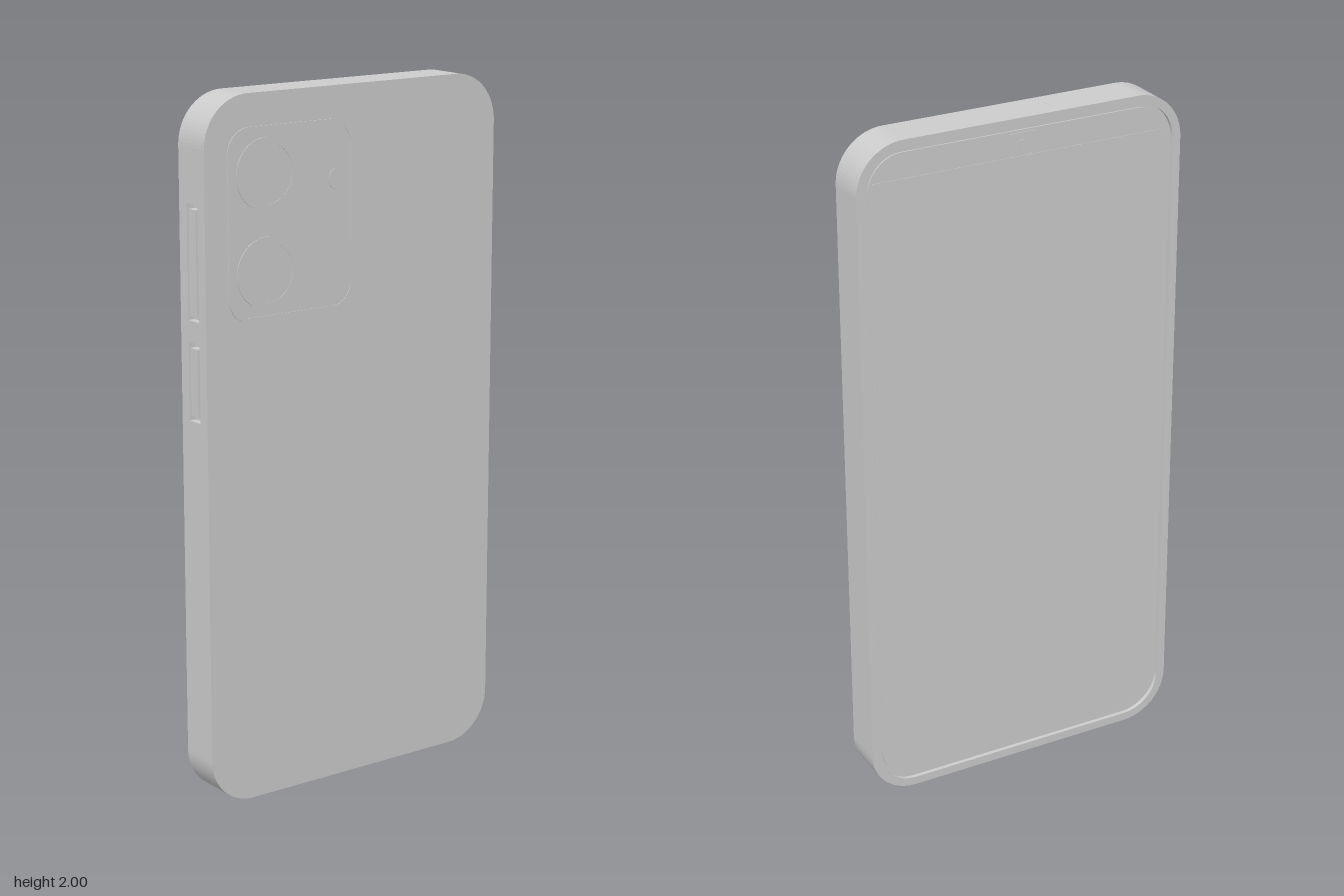
import * as THREE from 'three';

const grey = new THREE.MeshStandardMaterial({ color: 0xcccccc });

// Rounded rectangle; leftCuts and bottomCut are [start, end] notches of the given depth
function roundRect(Path, x0, y0, x1, y1, r, leftCuts = [], bottomCut = null, depth = 0.02) {
  const s = new Path();
  s.moveTo(x0 + r, y0);
  if (bottomCut) {
    const [a, b] = bottomCut;
    s.lineTo(a, y0);
    s.lineTo(a, y0 + depth * 2);
    s.lineTo(b, y0 + depth * 2);
    s.lineTo(b, y0);
  }
  s.lineTo(x1 - r, y0);
  s.absarc(x1 - r, y0 + r, r, -Math.PI / 2, 0, false);
  s.lineTo(x1, y1 - r);
  s.absarc(x1 - r, y1 - r, r, 0, Math.PI / 2, false);
  s.lineTo(x0 + r, y1);
  s.absarc(x0 + r, y1 - r, r, Math.PI / 2, Math.PI, false);
  for (const [top, bottom] of leftCuts) {
    s.lineTo(x0, top);
    s.lineTo(x0 + depth, top);
    s.lineTo(x0 + depth, bottom);
    s.lineTo(x0, bottom);
  }
  s.lineTo(x0, y0 + r);
  s.absarc(x0 + r, y0 + r, r, Math.PI, Math.PI * 1.5, false);
  return s;
}

function createModel() {
  const phone = new THREE.Group();
  phone.name = 'phone';

  const add = (name, geometry, x = 0, y = 0, z = 0) => {
    const mesh = new THREE.Mesh(geometry, grey);
    mesh.name = name;
    mesh.position.set(x, y, z);
    phone.add(mesh);
    return mesh;
  };
  // Slab of a shape between two depths
  const slab = (name, shape, z0, z1) => add(name,
    new THREE.ExtrudeGeometry(shape, { depth: z1 - z0, bevelEnabled: false, curveSegments: 10 }), 0, 0, z0);
  // Disc or ring facing the front
  const disc = (name, x, y, r, z0, z1, inner = 0) => {
    const s = new THREE.Shape().absarc(x, y, r, 0, Math.PI * 2, false);
    if (inner) s.holes.push(new THREE.Path().absarc(x, y, inner, 0, Math.PI * 2, true));
    return add(name, new THREE.ExtrudeGeometry(s, { depth: z1 - z0, bevelEnabled: false, curveSegments: 32 }), 0, 0, z0);
  };

  const W = 0.495, R = 0.14, S = THREE.Shape, P = THREE.Path;
  const buttons = [[1.71, 1.39], [1.33, 1.11]];
  const outline = () => roundRect(S, -W, 0, W, 2, R);

  // Body in layers: screen rim, core, slotted middle, camera side
  const rim = outline();
  rim.holes.push(roundRect(P, -W + 0.025, 0.025, W - 0.025, 1.975, R - 0.025));
  slab('screenRim', rim, -0.063, -0.051);
  slab('bodyCore', outline(), -0.051, -0.026);
  slab('bodyMiddle', roundRect(S, -W, 0, W, 2, R, buttons, [-0.07, 0.07]), -0.026, 0.026);
  slab('bodyCameraSide', outline(), 0.026, 0.06);

  // Side buttons sitting in their slots
  for (const [top, bottom] of buttons) {
    add('sideButton', new THREE.BoxGeometry(0.021, top - bottom - 0.03, 0.034),
      -W + 0.0095, (top + bottom) / 2, 0);
  }

  // Charging port tongue
  add('portTongue', new THREE.BoxGeometry(0.09, 0.03, 0.012), 0, 0.025, 0);

  // Screen glass and display, set below the rim
  const g = 0.037;
  slab('screenGlass', roundRect(S, -W + g, g, W - g, 2 - g, R - g), -0.055, -0.05);
  slab('display', roundRect(S, -0.445, 0.09, 0.445, 1.89, 0.006), -0.0565, -0.054);
  disc('selfieCamera', 0, 1.925, 0.011, -0.057, -0.054);
  add('earpiece', new THREE.BoxGeometry(0.08, 0.008, 0.003), 0, 1.952, -0.0555);

  // Camera panel with a raised border
  const border = roundRect(S, -0.422, 1.38, -0.005, 1.91, 0.07);
  border.holes.push(roundRect(P, -0.41, 1.392, -0.017, 1.898, 0.058));
  slab('cameraPanelBorder', border, 0.059, 0.063);
  slab('cameraPanel', roundRect(S, -0.411, 1.391, -0.016, 1.899, 0.059), 0.058, 0.0612);

  // Two lenses and the flash
  for (const y of [1.78, 1.51]) {
    disc('lensRing', -0.295, y, 0.1, 0.059, 0.0635, 0.083);
    disc('lensGlass', -0.295, y, 0.084, 0.059, 0.0622);
  }
  disc('flash', -0.06, 1.745, 0.03, 0.059, 0.063);

  return phone;
}

export { createModel };
